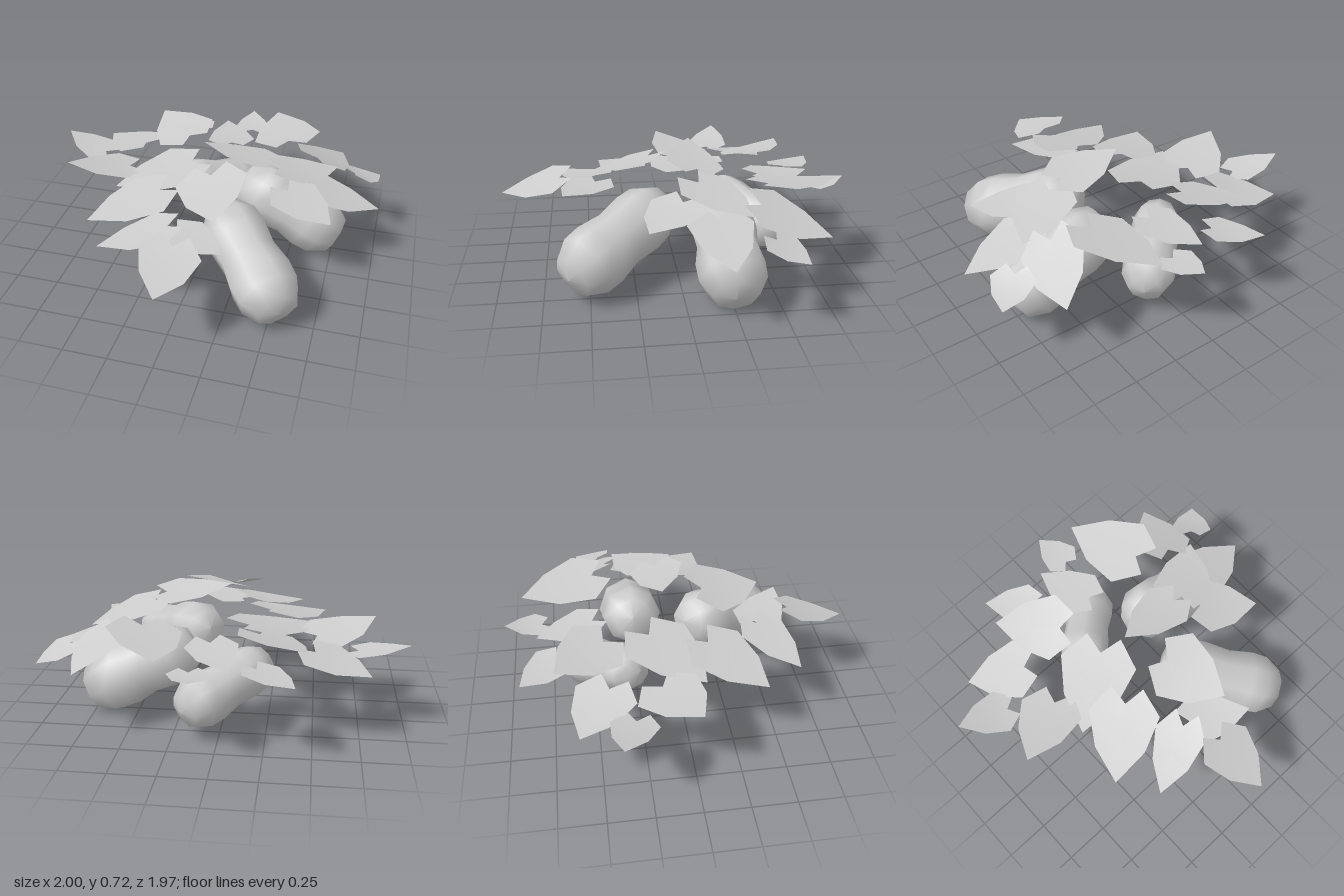
import * as THREE from 'three';

const grey = new THREE.MeshStandardMaterial({ color: 0xcccccc });
const thin = new THREE.MeshStandardMaterial({ color: 0xcccccc, side: THREE.DoubleSide });

// Two-lobed blunt pod: a low-sided lathe stretched between the lobe centres
function createPod(low, high, radius) {
  const a = new THREE.Vector3(...low), b = new THREE.Vector3(...high);
  const axis = b.clone().sub(a), d = axis.length() / 2, r = radius;
  const profile = [
    [0, -d - r], [0.66 * r, -d - 0.87 * r], [0.99 * r, -d - 0.3 * r], [1.02 * r, -d + 0.25 * r],
    [0.9 * r, 0], [0.98 * r, d - 0.2 * r], [0.93 * r, d + 0.35 * r], [0.6 * r, d + 0.88 * r], [0, d + r],
  ].map(([x, y]) => new THREE.Vector2(x, y));
  const pod = new THREE.Mesh(new THREE.LatheGeometry(profile, 8), grey);
  pod.quaternion.setFromUnitVectors(new THREE.Vector3(0, 1, 0), axis.normalize());
  pod.position.copy(a).add(b).multiplyScalar(0.5);
  return pod;
}

// Half outline of a heart-shaped leaf: distance along the midrib, share of half width
const EDGE = [[-0.2, 0.45], [0.12, 1], [0.58, 0.7]];

// Leaf laid from its notch to its tip, sagging along the midrib and rolled sideways
function createLeaf([tx, ty, tz, bx, by, bz, halfWidth, roll]) {
  const len = Math.hypot(tx - bx, tz - bz);
  const dx = (tx - bx) / len, dz = (tz - bz) / len;
  const point = (u, v) => {
    const side = v * halfWidth;
    const sag = -0.045 * u * (1 - u) + 0.006 * Math.abs(v);
    return [bx + dx * len * u - dz * side, by + (ty - by) * u + sag + roll * v, bz + dz * len * u + dx * side];
  };
  const positions = [0, 0.45, 1].flatMap((u) => point(u, 0));
  for (const s of [1, -1]) for (const [u, v] of EDGE) positions.push(...point(u, v * s));
  // Vertices 0-2 run along the midrib, 3-5 and 6-8 along the two edges
  const index = [];
  for (const e of [3, 6]) {
    for (const [a, b, c] of [[0, e, e + 1], [0, e + 1, 1], [1, e + 1, e + 2], [1, e + 2, 2]]) {
      index.push(...(e === 3 ? [a, c, b] : [a, b, c]));
    }
  }
  const geometry = new THREE.BufferGeometry();
  geometry.setAttribute('position', new THREE.Float32BufferAttribute(positions, 3));
  geometry.setIndex(index);
  geometry.computeVertexNormals();
  return new THREE.Mesh(geometry, thin);
}

// Each leaf: tip x y z, notch x y z, half width, roll
const FRONT_LEAVES = [
  [0.01, 0.45, 0.98, 0.01, 0.53, 0.65, 0.165, 0.025],
  [-0.42, 0.43, 0.63, -0.08, 0.5, 0.45, 0.145, 0],
  [-0.56, 0.43, 0.42, -0.23, 0.51, 0.14, 0.2, 0],
  [0.26, 0.51, 0.63, -0.03, 0.48, 0.45, 0.15, 0],
  [0.18, 0.61, 0.5, 0.08, 0.665, 0.15, 0.195, -0.045],
];
const RIGHT_LEAVES = [
  [-0.84, 0.53, 0.02, -0.51, 0.46, -0.15, 0.185, -0.02],
  [-1.0, 0.51, -0.39, -0.73, 0.44, -0.31, 0.13, 0],
  [-0.79, 0.41, -0.6, -0.5, 0.47, -0.43, 0.18, 0],
  [-0.46, 0.57, -0.71, -0.21, 0.56, -0.44, 0.185, 0.045],
  [-0.51, 0.46, 0.09, -0.13, 0.52, -0.18, 0.22, 0],
];
const BACK_LEAVES = [
  [-0.41, 0.46, -0.9, -0.21, 0.47, -0.7, 0.125, 0.01],
  [0.09, 0.5, -0.99, 0.12, 0.47, -0.78, 0.11, 0],
  [-0.05, 0.5, -0.81, 0.05, 0.52, -0.49, 0.145, 0],
  [0.27, 0.565, -0.89, 0.41, 0.595, -0.47, 0.2, 0.03],
  [0.73, 0.41, -0.74, 0.6, 0.55, -0.39, 0.165, -0.04],
];
const LEFT_LEAVES = [
  [0.98, 0.39, -0.56, 0.83, 0.46, -0.42, 0.12, 0],
  [1.0, 0.38, -0.19, 0.6, 0.49, -0.17, 0.175, 0],
  [0.73, 0.54, -0.33, 0.42, 0.62, -0.09, 0.175, 0],
  [0.76, 0.49, 0.2, 0.49, 0.54, 0, 0.17, 0],
  [-0.02, 0.73, -0.09, 0.35, 0.67, -0.09, 0.155, -0.03],
];

export function createModel() {
  const model = new THREE.Group();
  model.name = 'podPlant';

  // Pods lying under the foliage: lower lobe, upper lobe, radius
  const pods = {
    frontPod: [[0.465, 0.222, 0.475], [0.235, 0.345, 0.2], 0.185],
    leftPod: [[0.62, 0.195, -0.245], [0.335, 0.34, -0.245], 0.185],
    backPod: [[0.085, 0.218, -0.55], [-0.13, 0.305, -0.34], 0.145],
  };
  for (const [name, spec] of Object.entries(pods)) {
    const pod = createPod(...spec);
    pod.name = name;
    model.add(pod);
  }

  // Canopy of loose leaves
  const sets = { frontLeaf: FRONT_LEAVES, rightLeaf: RIGHT_LEAVES, backLeaf: BACK_LEAVES, leftLeaf: LEFT_LEAVES };
  for (const [name, leaves] of Object.entries(sets)) {
    leaves.forEach((spec, i) => {
      const leaf = createLeaf(spec);
      leaf.name = name + (i + 1);
      model.add(leaf);
    });
  }
  return model;
}
